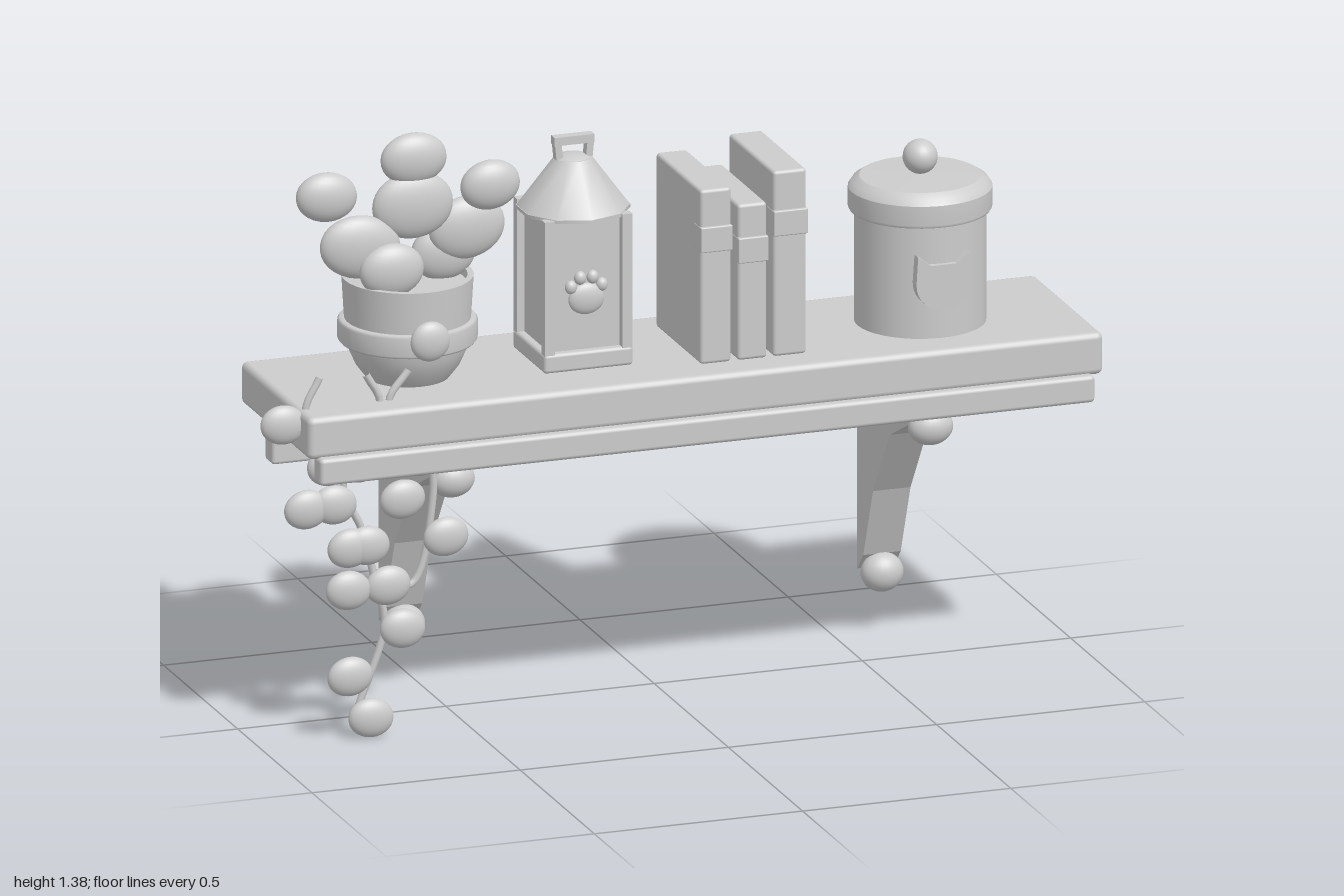
import * as THREE from 'three';
import { RoundedBoxGeometry } from 'three/addons/geometries/RoundedBoxGeometry.js';

export function createModel() {
  const root = new THREE.Group();
  root.name = 'decoratedShelf';
  const clay = new THREE.MeshStandardMaterial({ color: 0xcccccc });
  clay.name = 'pale grey';

  const group = (name, x = 0, y = 0, z = 0) => {
    const g = new THREE.Group();
    g.name = name;
    g.position.set(x, y, z);
    root.add(g);
    return g;
  };
  const add = (parent, name, geo, x = 0, y = 0, z = 0) => {
    const m = new THREE.Mesh(geo, clay);
    m.name = name;
    m.position.set(x, y, z);
    parent.add(m);
    return m;
  };
  // box given by its min and max corners
  const block = (parent, name, x0, x1, y0, y1, z0, z1, r = 0.008) =>
    add(parent, name, new RoundedBoxGeometry(x1 - x0, y1 - y0, z1 - z0, 2, r),
      (x0 + x1) / 2, (y0 + y1) / 2, (z0 + z1) / 2);
  const blob = (parent, name, x, y, z, rx, ry, rz, tilt = 0) => {
    const m = add(parent, name, new THREE.SphereGeometry(1, 24, 16), x, y, z);
    m.scale.set(rx, ry, rz);
    m.rotation.z = tilt;
    return m;
  };
  // lathe with hard edges: each profile run is turned separately
  const turned = (parent, name, runs) => runs.forEach(run =>
    add(parent, name, new THREE.LatheGeometry(run.map(p => new THREE.Vector2(...p)), 40)));

  // shelf board, front trim and wall rail
  const shelf = group('shelf');
  block(shelf, 'board', -0.91, 1.0, 0.7, 0.8, -0.237, 0.225, 0.015);
  block(shelf, 'frontTrim', -0.888, 0.973, 0.642, 0.706, 0.193, 0.244, 0.01);
  block(shelf, 'wallRail', -0.851, 0.941, 0.56, 0.702, -0.237, -0.185, 0.008);

  // curved brackets with ball ends
  const profile = new THREE.Shape([[-0.237, 0.702], [-0.237, 0.146], [-0.196, 0.19], [-0.13, 0.362],
    [-0.017, 0.53], [0.125, 0.6], [0.16, 0.702]].map(p => new THREE.Vector2(...p)));
  for (const x of [-0.532, 0.617]) {
    const bracket = group('bracket', x);
    const geo = new THREE.ExtrudeGeometry(profile, { depth: 0.09, bevelEnabled: false });
    geo.translate(0, 0, -0.045).rotateY(-Math.PI / 2);
    add(bracket, 'bracketPlate', geo);
    blob(bracket, 'upperBall', 0, 0.59, 0.131, 0.053, 0.043, 0.037);
    blob(bracket, 'lowerBall', 0, 0.146, -0.196, 0.05, 0.046, 0.04);
  }

  // plant pot with band, badge and round leaves
  const pot = group('plantPot', -0.588, 0.8, -0.012);
  turned(pot, 'potBody', [
    [[0, 0], [0.095, 0]],
    [[0.095, 0], [0.118, 0.03], [0.134, 0.065], [0.141, 0.1], [0.144, 0.14]],
    [[0.144, 0.14], [0.15, 0.24]],
    [[0.15, 0.24], [0.136, 0.24]],
    [[0.136, 0.24], [0.134, 0.22]],
    [[0.134, 0.22], [0, 0.225]],
  ]);
  turned(pot, 'potBand', [[[0.14, 0.086], [0.154, 0.086], [0.159, 0.092], [0.159, 0.134], [0.154, 0.14], [0.142, 0.14]]]);
  blob(pot, 'potBadge', 0, 0.125, 0.152, 0.047, 0.047, 0.022);
  const plant = group('plantLeaves');
  [[-0.78, 1.24, -0.02, 0.073, 0.058, -0.1], [-0.585, 1.323, 0.02, 0.079, 0.061, 0],
    [-0.41, 1.25, 0.045, 0.071, 0.058, 0.1], [-0.588, 1.214, 0.022, 0.097, 0.079, 0],
    [-0.717, 1.13, 0.03, 0.097, 0.074, -0.15], [-0.45, 1.14, 0.0, 0.091, 0.074, 0.15],
    [-0.652, 1.077, 0.06, 0.077, 0.063, 0], [-0.5, 1.08, -0.02, 0.077, 0.065, 0],
  ].forEach(([x, y, z, rx, ry, t]) => blob(plant, 'leaf', x, y, z, rx, ry, 0.034, t));

  // lantern: square body, corner posts, tapered roof, handle
  const lantern = group('lantern', -0.19, 0.8, -0.014);
  block(lantern, 'lanternBase', -0.107, 0.107, 0, 0.045, -0.107, 0.107);
  block(lantern, 'lanternBody', -0.088, 0.088, 0.04, 0.36, -0.088, 0.088, 0.004);
  for (const sx of [-1, 1]) for (const sz of [-1, 1])
    add(lantern, 'lanternPost', new THREE.BoxGeometry(0.024, 0.32, 0.024), sx * 0.093, 0.2, sz * 0.093);
  add(lantern, 'lanternRoof', new THREE.CylinderGeometry(0.044, 0.13, 0.115, 10), 0, 0.4175);
  add(lantern, 'roofEdge', new THREE.CylinderGeometry(0.13, 0.13, 0.008, 10), 0, 0.358);
  add(lantern, 'roofCap', new THREE.SphereGeometry(0.046, 16, 6, 0, Math.PI * 2, 0, Math.PI / 2), 0, 0.465).scale.y = 0.4;
  for (const s of [-1, 1])
    add(lantern, 'handleSide', new THREE.BoxGeometry(0.016, 0.06, 0.022), s * 0.037, 0.49).rotation.z = s * -0.1;
  add(lantern, 'handleTop', new THREE.BoxGeometry(0.096, 0.02, 0.024), 0, 0.517);
  blob(lantern, 'pawPad', 0, 0.165, 0.09, 0.043, 0.037, 0.015);
  [[-0.037, 0.195], [-0.015, 0.215], [0.015, 0.215], [0.037, 0.195]]
    .forEach(([x, y]) => blob(lantern, 'pawToe', x, y, 0.09, 0.014, 0.016, 0.012));

  // books with a raised spine band
  const books = group('books');
  [[0.06, 0.134, 1.214], [0.15, 0.22, 1.17], [0.235, 0.315, 1.24]].forEach(([x0, x1, top]) => {
    block(books, 'book', x0, x1, 0.8, top, -0.158, 0.144);
    const y = 0.8 + (top - 0.8) * 0.79;
    block(books, 'spineBand', x0 - 0.001, x1 + 0.001, y - 0.06, y, 0.1, 0.152, 0.003);
  });

  // lidded jar with cat badge
  const jar = group('jar', 0.643, 0.8, -0.012);
  turned(jar, 'jarBody', [[[0, 0], [0.15, 0]], [[0.15, 0], [0.15, 0.275]]]);
  turned(jar, 'jarLid', [
    [[0.148, 0.265], [0.16, 0.265]],
    [[0.16, 0.265], [0.164, 0.272], [0.164, 0.318]],
    [[0.164, 0.318], [0.155, 0.332], [0.138, 0.343]],
    [[0.138, 0.343], [0, 0.346]],
  ]);
  blob(jar, 'lidKnob', 0, 0.386, 0, 0.04, 0.04, 0.04);
  const cat = new THREE.Shape();
  cat.moveTo(-0.062, 0.065);
  cat.lineTo(-0.03, 0.042);
  cat.lineTo(0.03, 0.042);
  cat.lineTo(0.062, 0.065);
  cat.lineTo(0.066, 0);
  cat.bezierCurveTo(0.066, -0.085, -0.066, -0.085, -0.066, 0);
  cat.closePath();
  add(jar, 'catBadge', new THREE.ExtrudeGeometry(cat, { depth: 0.035, bevelEnabled: false, curveSegments: 16 }), 0, 0.135, 0.126);

  // trailing vines at the left end
  const vines = group('vines');
  [
    [[-0.856, 0.87], [-0.89, 0.79], [-0.84, 0.7], [-0.8, 0.64], [-0.85, 0.57]],
    [[-0.745, 0.866], [-0.71, 0.79], [-0.8, 0.61], [-0.755, 0.5], [-0.72, 0.36], [-0.7, 0.27], [-0.77, 0.06]],
    [[-0.642, 0.866], [-0.69, 0.79], [-0.59, 0.64], [-0.588, 0.52], [-0.63, 0.36], [-0.68, 0.35]],
  ].forEach(path => {
    const curve = new THREE.CatmullRomCurve3(path.map(([x, y]) => new THREE.Vector3(x, y, 0.147)));
    add(vines, 'vineStem', new THREE.TubeGeometry(curve, 40, 0.009, 8));
  });
  [[-0.947, 0.77], [-0.89, 0.563], [-0.824, 0.567], [-0.835, 0.66], [-0.765, 0.66], [-0.66, 0.563], [-0.62, 0.66],
    [-0.786, 0.46], [-0.745, 0.462], [-0.556, 0.463], [-0.79, 0.36], [-0.695, 0.362],
    [-0.66, 0.256], [-0.786, 0.155], [-0.736, 0.052],
  ].forEach(([x, y], i) => blob(vines, 'vineLeaf', x, y, 0.156, 0.054, 0.046, 0.024, i % 2 ? 0.1 : -0.1));

  return root;
}
